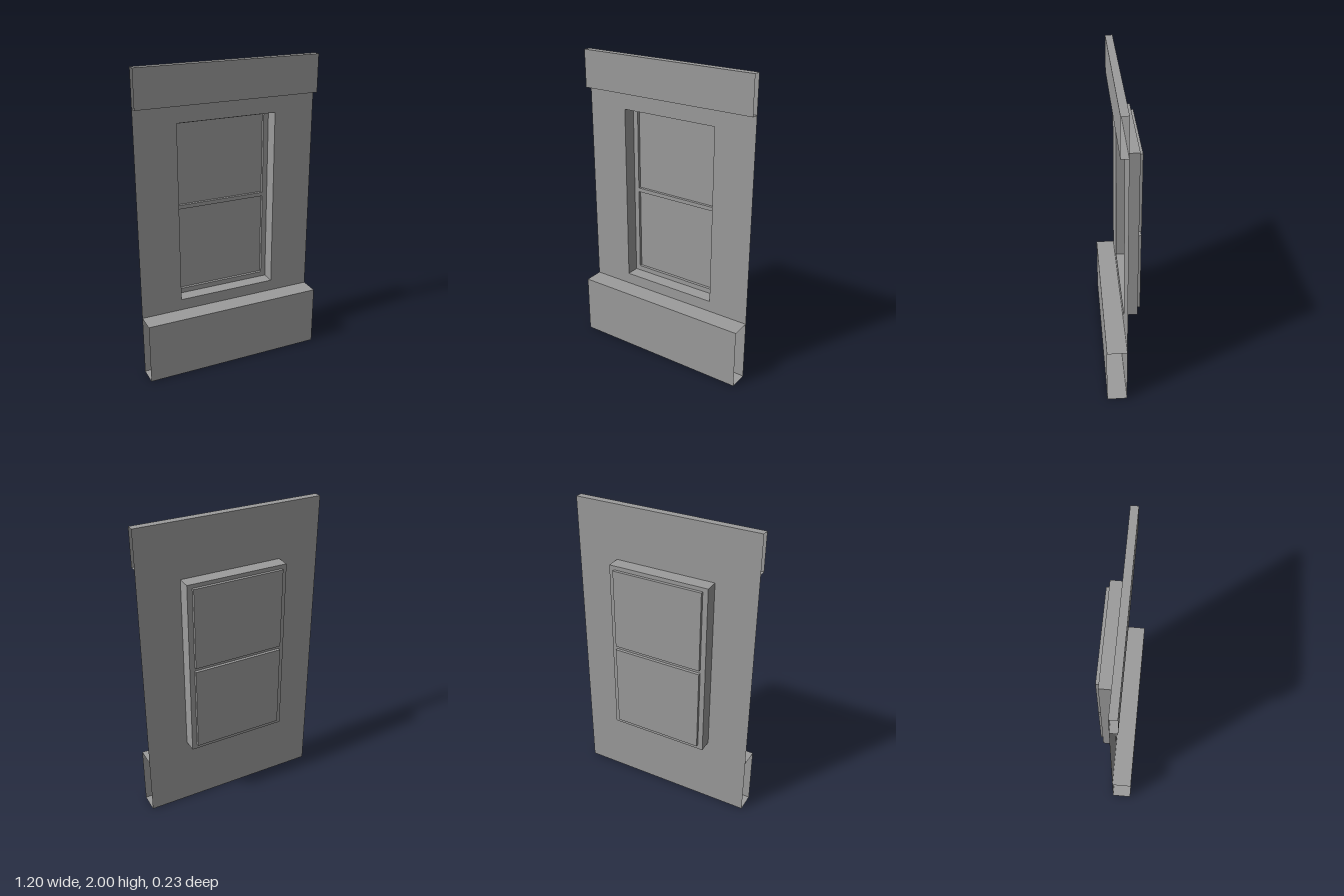
import * as THREE from 'three';

const material = new THREE.MeshStandardMaterial({ color: 0x9c9c9c, side: THREE.DoubleSide });

// Depths of the layers, from front to back
const Z_BASE = 0.117, Z_HEAD = 0.037, Z_WALL = -0.01, Z_SASH = -0.098, Z_PANE = -0.117;

// Outlines as [x half width, bottom, top]
const WALL = [0.6, 0, 2];
const OPENING = [0.329, 0.474, 1.648];
const PANES = { lowerPane: [0.296, 0.507, 1.068], upperPane: [0.296, 1.094, 1.623] };

const FACES = ['right', 'left', 'top', 'bottom', 'front', 'back'];

function addMesh(group, name, geometry) {
  const mesh = new THREE.Mesh(geometry, material);
  mesh.name = name;
  group.add(mesh);
}

// Box shell that keeps only the listed faces
function shell([w, y0, y1], z0, z1, keep) {
  const geometry = new THREE.BoxGeometry(2 * w, y1 - y0, z1 - z0);
  const index = Array.from(geometry.index.array);
  geometry.setIndex(index.filter((_, i) => keep.includes(FACES[Math.floor(i / 6)])));
  geometry.clearGroups();
  return geometry.translate(0, (y0 + y1) / 2, (z0 + z1) / 2);
}

function outline(target, [w, y0, y1]) {
  target.moveTo(-w, y0);
  target.lineTo(w, y0);
  target.lineTo(w, y1);
  target.lineTo(-w, y1);
  target.closePath();
  return target;
}

// Flat sheet with rectangular holes
function sheet(rect, holes, z) {
  const shape = outline(new THREE.Shape(), rect);
  shape.holes = holes.map((h) => outline(new THREE.Path(), h));
  return new THREE.ShapeGeometry(shape).translate(0, 0, z);
}

export function createModel() {
  const group = new THREE.Group();
  group.name = 'windowWallPanel';

  // Wall with window opening
  addMesh(group, 'wall', sheet(WALL, [OPENING], Z_WALL));

  // Bands across the front, open at both ends
  const bandFaces = ['top', 'bottom', 'front'];
  addMesh(group, 'baseBand', shell([0.6, 0, 0.4], Z_WALL, Z_BASE, bandFaces));
  addMesh(group, 'headBand', shell([0.6, 1.76, 2], Z_WALL, Z_HEAD, bandFaces));

  // Reveal and sash frame behind the opening
  const sides = ['right', 'left', 'top', 'bottom'];
  addMesh(group, 'windowReveal', shell(OPENING, Z_SASH, Z_WALL, sides));
  addMesh(group, 'sashFrame', sheet(OPENING, Object.values(PANES), Z_SASH));

  // Recessed panes
  for (const [name, rect] of Object.entries(PANES)) {
    addMesh(group, name, shell(rect, Z_PANE, Z_SASH, [...sides, 'back']));
  }
  return group;
}
